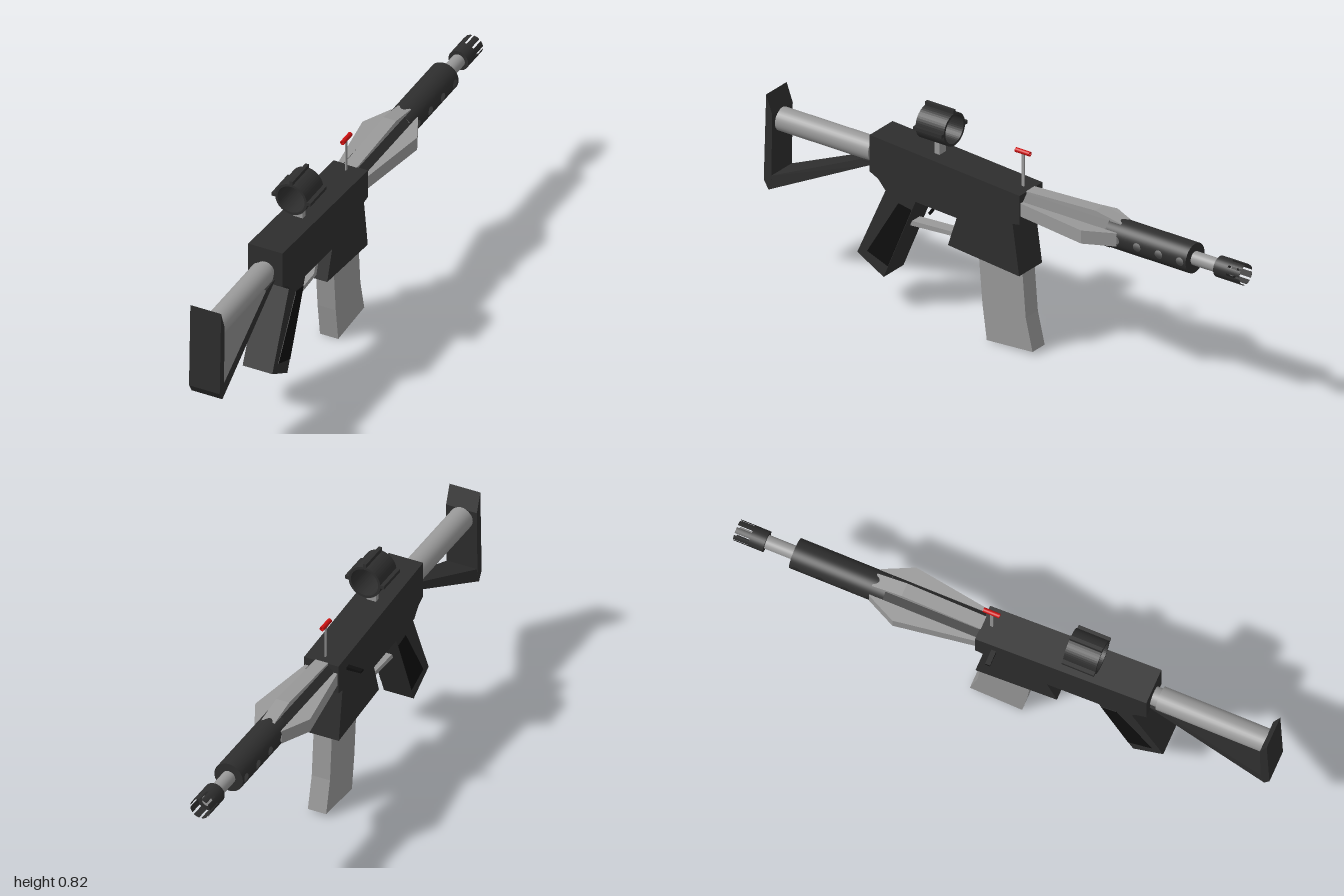
import * as THREE from 'three';

const mat = (color) => new THREE.MeshStandardMaterial({ color, side: THREE.DoubleSide });

export function createModel() {
  const root = new THREE.Group();
  root.name = 'rifle';
  root.position.x = 0.0065;
  const dark = mat(0x2e2e2e), black = mat(0x0e0e0e), grey = mat(0x999999), red = mat(0xcc1111);
  const AXIS = 0.553; // height of the bore

  const add = (name, geo, material, x = 0, y = 0, z = 0, parent = root) => {
    const m = new THREE.Mesh(geo, material);
    m.name = name;
    m.position.set(x, y, z);
    parent.add(m);
    return m;
  };
  // Side outline of [z, y] points, extruded across x and centred
  const prism = (pts, width, hole) => {
    const v = (list) => list.map(([z, y]) => new THREE.Vector2(-z, y));
    const shape = new THREE.Shape(v(pts));
    if (hole) shape.holes.push(new THREE.Path(v(hole)));
    const g = new THREE.ExtrudeGeometry(shape, { depth: width, bevelEnabled: false });
    return g.translate(0, 0, -width / 2).rotateY(Math.PI / 2);
  };
  // Cylinder along z between two stations
  const rod = (r, z0, z1, seg = 32, open = false, start = 0, len = Math.PI * 2) =>
    new THREE.CylinderGeometry(r, r, Math.abs(z1 - z0), seg, 1, open, start, len)
      .rotateX(Math.PI / 2).translate(0, 0, (z0 + z1) / 2);
  // Hollow tube along z, starting at z = 0
  const pipe = (outer, inner, length) => {
    const s = new THREE.Shape().absarc(0, 0, outer, 0, Math.PI * 2);
    s.holes.push(new THREE.Path().absarc(0, 0, inner, 0, Math.PI * 2, true));
    return new THREE.ExtrudeGeometry(s, { depth: length, bevelEnabled: false, curveSegments: 24 });
  };

  // Receiver with magazine well
  add('receiver', prism([[0.546, 0.655], [0.546, 0.516], [0.51, 0.498], [0.48, 0.464], [0.177, 0.447],
    [0.214, 0.333], [-0.088, 0.303], [-0.06, 0.495], [-0.09, 0.5], [-0.09, 0.61]], 0.132), dark);
  add('magazine', prism([[0.107, 0.33], [0.09, 0.13], [0.072, 0], [-0.122, 0.012], [-0.093, 0.134],
    [-0.077, 0.33]], 0.07), grey);
  const lever = new THREE.BoxGeometry(0.06, 0.012, 0.018);
  const lp = lever.attributes.position;
  for (let i = 0; i < lp.count; i++) if (lp.getX(i) < 0) lp.setY(i, lp.getY(i) * 0.6);
  lever.computeVertexNormals();
  add('chargingLever', lever, black, -0.091, 0.566, -0.02);

  // Grip with side panels
  add('grip', prism([[0.475, 0.48], [0.35, 0.47], [0.493, 0.125], [0.605, 0.188]], 0.114), dark);
  add('gripPanels', prism([[0.43, 0.425], [0.375, 0.415], [0.475, 0.172], [0.562, 0.205]], 0.118), black);

  // Trigger and guard
  add('triggerGuard', prism([[0.4, 0.455], [0.41, 0.334], [0.21, 0.347], [0.175, 0.455]], 0.045,
    [[0.36, 0.446], [0.4, 0.353], [0.228, 0.362], [0.194, 0.446]]), grey);
  const bend = new THREE.QuadraticBezierCurve3(new THREE.Vector3(0, 0.45, 0.31),
    new THREE.Vector3(0, 0.42, 0.315), new THREE.Vector3(0, 0.39, 0.34));
  add('trigger', new THREE.TubeGeometry(bend, 8, 0.006, 8), black);

  // Stock: buffer tube, butt plate and tapering strut
  add('bufferTube', rod(0.043, 0.57, 0.97), grey, 0, 0.567, 0);
  add('bufferNeck', rod(0.034, 0.54, 0.575), grey, 0, 0.567, 0);
  add('buttPlate', prism([[0.99, 0.675], [0.964, 0.605], [0.968, 0.36], [0.98, 0.315], [1, 0.348]], 0.118), dark);
  const strut = prism([[0.98, 0.315], [0.985, 0.364], [0.61, 0.532], [0.54, 0.54], [0.56, 0.525]], 0.118);
  const sp = strut.attributes.position;
  for (let i = 0; i < sp.count; i++) if (sp.getZ(i) < 0.7) sp.setX(i, sp.getX(i) * 0.62);
  strut.computeVertexNormals();
  add('stockStrut', strut, dark);

  // Handguard: faceted rear, hollow round front with vent holes
  const R = 0.055, W = 0.65, Z0 = -0.44, Z1 = -0.785;
  const rear = rod(0.0575, -0.08, Z0, 8, false, Math.PI / 8).toNonIndexed();
  rear.computeVertexNormals();
  add('handguardRear', rear, dark, 0, AXIS, 0);
  for (const side of [0, Math.PI]) {
    add('handguardShell', rod(R, Z0, Z1, 24, true, side + Math.PI / 2 + W, Math.PI - 2 * W), dark, 0, AXIS, 0);
  }
  // One wall cell with a round hole, bent round the bore
  const ventCell = (zLow, zHigh, zc, turn) => {
    const N = 8, rim = [], pos = [], nor = [], idx = [], steps = 3, hole = 0.016;
    const corners = [[-W, zLow], [W, zLow], [W, zHigh], [-W, zHigh]];
    corners.forEach((c, k) => {
      const d = corners[(k + 1) % 4];
      for (let i = 0; i < N; i++) rim.push([c[0] + (d[0] - c[0]) * i / N, c[1] + (d[1] - c[1]) * i / N]);
    });
    rim.forEach(([a, z]) => {
      const t = Math.atan2(z - zc, a * R);
      for (let j = 0; j <= steps; j++) {
        const f = j / steps;
        const ang = turn + (1 - f) * hole * Math.cos(t) / R + f * a;
        pos.push(R * Math.cos(ang), R * Math.sin(ang), (1 - f) * (zc + hole * Math.sin(t)) + f * z);
        nor.push(Math.cos(ang), Math.sin(ang), 0);
      }
    });
    const row = steps + 1;
    for (let i = 0; i < rim.length; i++) {
      for (let j = 0; j < steps; j++) {
        const a = i * row + j, b = ((i + 1) % rim.length) * row + j;
        idx.push(a, a + 1, b + 1, a, b + 1, b);
      }
    }
    const g = new THREE.BufferGeometry();
    g.setAttribute('position', new THREE.Float32BufferAttribute(pos, 3));
    g.setAttribute('normal', new THREE.Float32BufferAttribute(nor, 3));
    g.setIndex(idx);
    return g;
  };
  const edges = [Z0, -0.532, -0.624, -0.715, Z1];
  [-0.487, -0.578, -0.67, -0.76].forEach((zc, i) => {
    for (const turn of [0, Math.PI]) add('ventHole', ventCell(edges[i + 1], edges[i], zc, turn), dark, 0, AXIS, 0);
  });
  add('handguardCap', rod(R - 0.001, -0.781, -0.785), dark, 0, AXIS, 0);

  // Fins on the top and both sides of the handguard
  const fin = (peak, start) => prism([[-0.08, 0.02], [-0.08, start], [-0.38, peak], [-0.49, 0.052], [-0.49, 0.03]], 0.05);
  add('topFin', fin(0.071, 0.057), grey, 0, AXIS, 0);
  for (const s of [-1, 1]) {
    add('sideFin', fin(0.105, 0.06), grey, 0, AXIS + 0.002, 0).rotation.z = s * Math.PI / 2;
  }

  // Barrel and slotted muzzle
  add('barrel', rod(0.025, -0.78, -0.9), grey, 0, AXIS, 0);
  add('muzzleBase', rod(0.038, -0.89, -0.945), dark, 0, AXIS, 0);
  add('muzzleCore', rod(0.02, -0.944, -0.948), grey, 0, AXIS, 0);
  for (let i = 0; i < 8; i++) {
    const wedge = new THREE.Shape().moveTo(0.011, 0).absarc(0, 0, 0.038, -0.29, 0.29).closePath();
    const g = new THREE.ExtrudeGeometry(wedge, { depth: 0.056, bevelEnabled: false, curveSegments: 6 });
    add('muzzleProng', g, dark, 0, AXIS, -1).rotation.z = (i + 0.5) * Math.PI / 4;
  }

  // Open ring scope on a short mount
  const scope = new THREE.Group();
  scope.name = 'scope';
  scope.position.set(0, 0.741, 0.235);
  root.add(scope);
  add('scopeTube', pipe(0.061, 0.052, 0.12), dark, 0, 0, 0, scope);
  for (const a of [0, Math.PI / 2, Math.PI]) {
    add('scopeRib', new THREE.BoxGeometry(0.016, 0.013, 0.12), dark,
      0.067 * Math.cos(a), 0.067 * Math.sin(a), 0.06, scope).rotation.z = a;
  }
  add('scopeMount', new THREE.BoxGeometry(0.037, 0.06, 0.02), grey, 0, 0.658, 0.295);

  // Front sight: thin post carrying a small red tube
  add('sightPost', new THREE.BoxGeometry(0.005, 0.135, 0.011), grey, 0, 0.668, -0.056);
  add('sightTube', pipe(0.0085, 0.005, 0.06), red, 0, 0.742, -0.086);
  return root;
}
